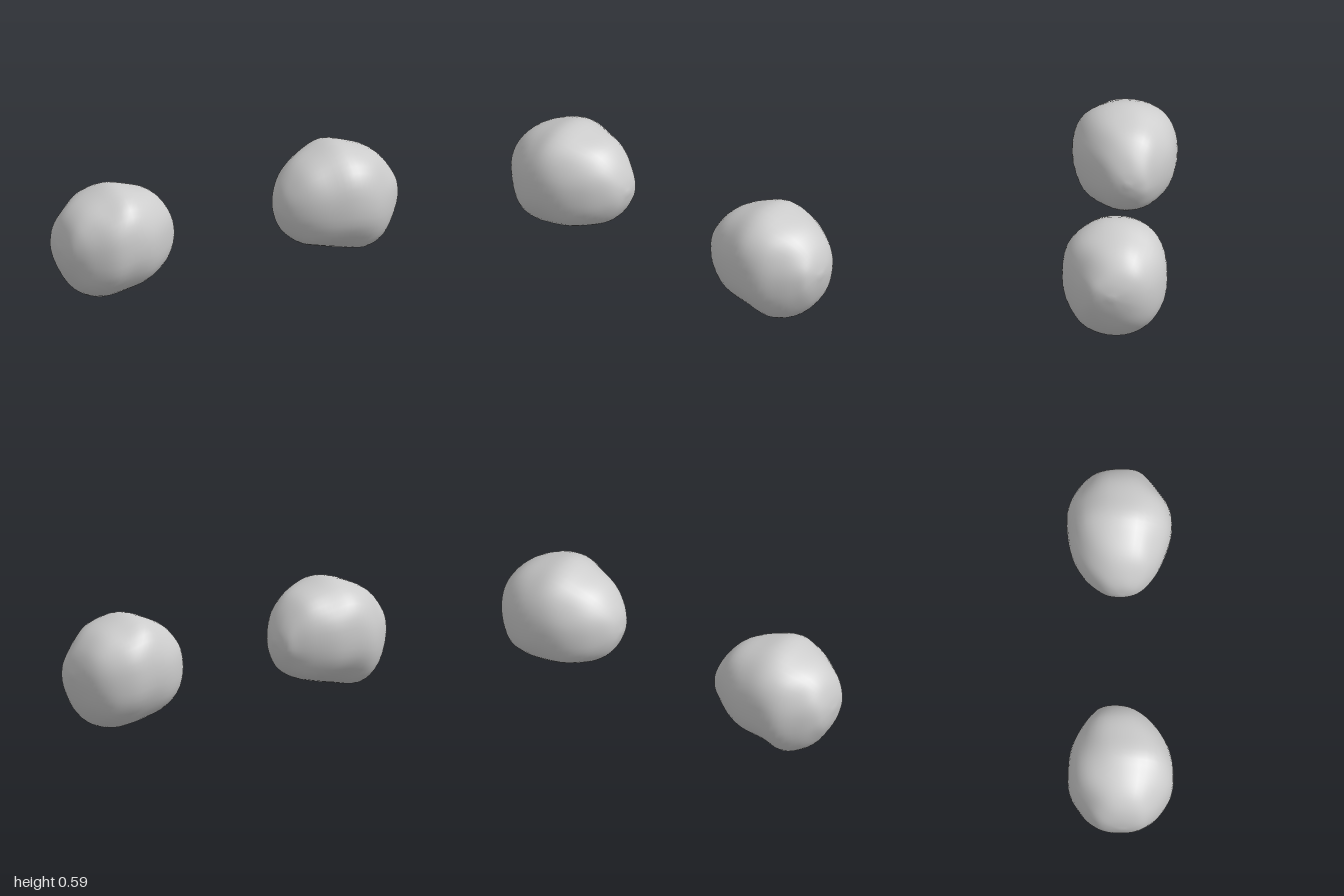
import * as THREE from 'three';
import { mergeVertices } from 'three/addons/utils/BufferGeometryUtils.js';

const AROUND = 40, ALONG = 40;

// Cross-sections from low x to high x: [x, top y, bottom y, front z, back z]
const leftSections = [
  [0.31, 0.28, 0.28, 0.00, 0.00],
  [0.323, 0.36, 0.22, 0.07, -0.07],
  [0.36, 0.43, 0.14, 0.125, -0.13],
  [0.43, 0.505, 0.08, 0.185, -0.20],
  [0.53, 0.558, 0.048, 0.235, -0.255],
  [0.65, 0.597, 0.022, 0.27, -0.278],
  [0.77, 0.568, 0.004, 0.262, -0.277],
  [0.87, 0.522, 0.03, 0.205, -0.235],
  [0.94, 0.455, 0.11, 0.15, -0.175],
  [0.98, 0.385, 0.21, 0.105, -0.10],
  [1.00, 0.31, 0.31, 0.00, 0.00],
];
const rightSections = [
  [-1.00, 0.30, 0.30, 0.00, 0.00],
  [-0.985, 0.38, 0.21, 0.10, -0.11],
  [-0.95, 0.455, 0.13, 0.15, -0.16],
  [-0.89, 0.513, 0.048, 0.205, -0.21],
  [-0.79, 0.563, 0.01, 0.265, -0.272],
  [-0.68, 0.597, 0.028, 0.274, -0.279],
  [-0.56, 0.57, 0.052, 0.25, -0.262],
  [-0.45, 0.528, 0.085, 0.185, -0.21],
  [-0.38, 0.46, 0.13, 0.12, -0.16],
  [-0.33, 0.37, 0.21, 0.05, -0.115],
  [-0.31, 0.30, 0.30, -0.03, -0.03],
];

// Slightly squared rounded section
const round = (v) => Math.sign(v) * Math.pow(Math.abs(v), 0.9);

function pebbleGeometry(sections, seed) {
  const positions = [], index = [];
  for (let i = 0; i < AROUND; i++) {
    const a = (i / AROUND) * Math.PI * 2;
    const c = round(Math.cos(a)), s = round(Math.sin(a));
    const points = sections.map(([x, top, bottom, front, back], row) => {
      const cy = (top + bottom) / 2, cz = (front + back) / 2;
      // Shallow dents between the four main outline directions
      const dent = 1 + 0.022 * Math.sin(2 * a) ** 2 * Math.sin(row * 1.9 + 3 * a + seed);
      return new THREE.Vector3(
        x,
        cy + (c * (top - bottom) / 2) * dent,
        cz + (s * (front - back) / 2) * dent,
      );
    });
    const line = new THREE.CatmullRomCurve3(points).getPoints(ALONG);
    line.forEach((p) => positions.push(p.x, Math.max(p.y, 0), p.z));
  }
  // Skin the lengthwise lines, skipping collapsed triangles at the two tips
  const id = (i, j) => (i % AROUND) * (ALONG + 1) + j;
  for (let i = 0; i < AROUND; i++) {
    for (let j = 0; j < ALONG; j++) {
      if (j > 0) index.push(id(i, j), id(i + 1, j), id(i, j + 1));
      if (j < ALONG - 1) index.push(id(i + 1, j), id(i + 1, j + 1), id(i, j + 1));
    }
  }
  const geometry = new THREE.BufferGeometry();
  geometry.setAttribute('position', new THREE.Float32BufferAttribute(positions, 3));
  geometry.setIndex(index);
  const welded = mergeVertices(geometry, 1e-5);
  welded.computeVertexNormals();
  return welded;
}

export function createModel() {
  const group = new THREE.Group();
  const material = new THREE.MeshStandardMaterial({ color: 0xcccccc });
  const add = (name, sections, seed) => {
    const mesh = new THREE.Mesh(pebbleGeometry(sections, seed), material);
    mesh.name = name;
    group.add(mesh);
  };
  add('leftPebble', leftSections, 0.4);
  add('rightPebble', rightSections, 2.1);
  return group;
}
